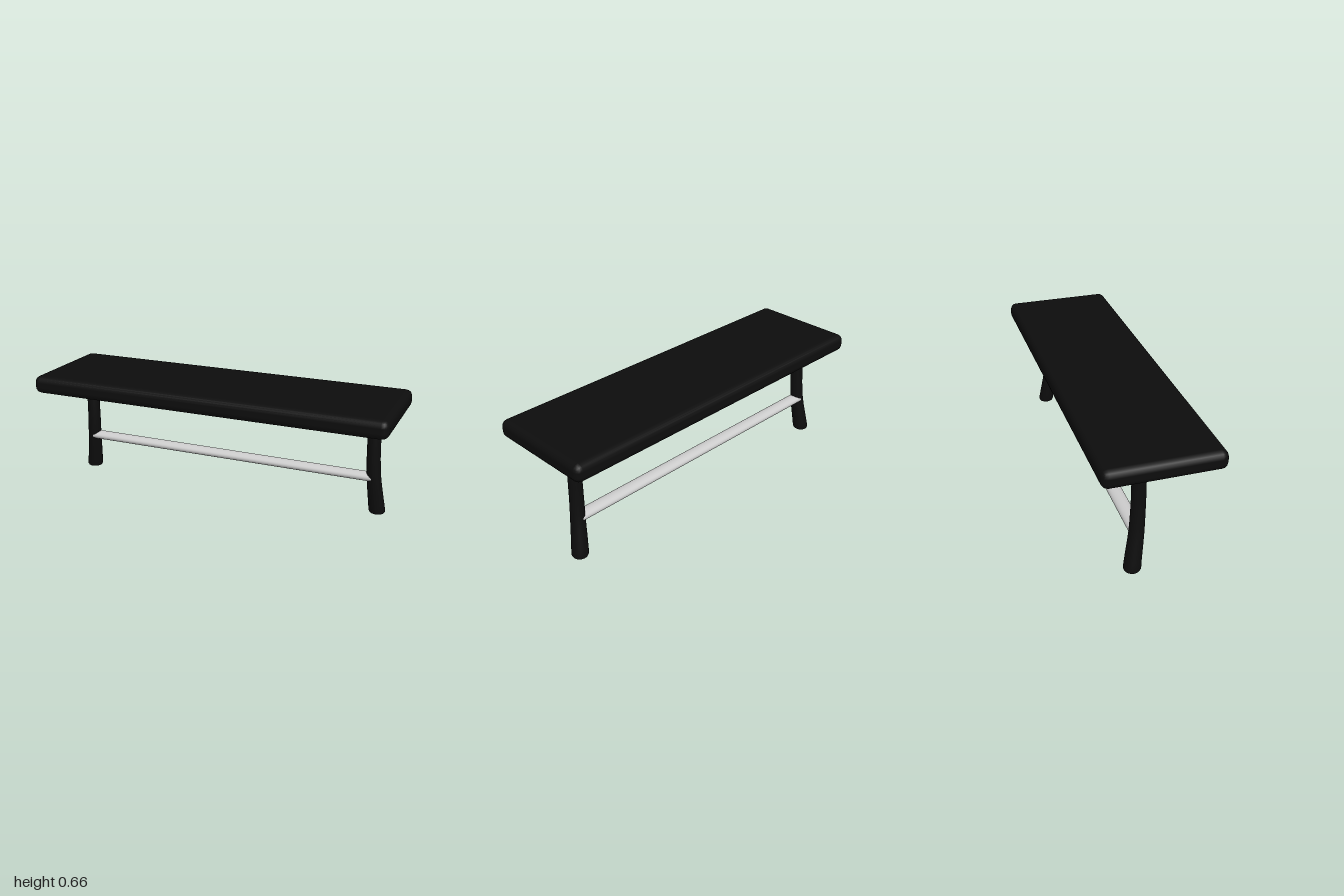
import * as THREE from 'three';
import { RoundedBoxGeometry } from 'three/addons/geometries/RoundedBoxGeometry.js';

const dark = new THREE.MeshStandardMaterial({ color: 0x0d0d0d });
const grey = new THREE.MeshStandardMaterial({ color: 0xcccccc });

// Leg sections from floor to seat: height, centre x, centre z, radius
const SECTIONS = [
  [0, 0.888, -0.12, 0.04],
  [0.01, 0.887, -0.119, 0.045],
  [0.05, 0.882, -0.114, 0.0435],
  [0.1, 0.876, -0.107, 0.042],
  [0.16, 0.869, -0.0985, 0.04],
  [0.21, 0.864, -0.0925, 0.0385],
  [0.25, 0.861, -0.0895, 0.0378],
  [0.32, 0.857, -0.0855, 0.0367],
  [0.4, 0.855, -0.083, 0.036],
  [0.58, 0.854, -0.0825, 0.0355],
];

// Round leg that sweeps outward and backward towards the floor
function makeLeg(side) {
  const rows = SECTIONS.length - 1;
  const geometry = new THREE.CylinderGeometry(1, 1, 1, 24, rows);
  const p = geometry.attributes.position;
  for (let i = 0; i < p.count; i++) {
    const [y, x, z, r] = SECTIONS[Math.round((p.getY(i) + 0.5) * rows)];
    p.setXYZ(i, side * x + p.getX(i) * r, y, z + p.getZ(i) * r);
  }
  geometry.computeVertexNormals();
  return new THREE.Mesh(geometry, dark);
}

export function createModel() {
  const model = new THREE.Group();
  model.name = 'bench';

  // Padded seat slab with soft edges
  const seat = new THREE.Mesh(new RoundedBoxGeometry(2, 0.098, 0.61, 2, 0.036), dark);
  seat.name = 'seat';
  seat.position.y = 0.614;
  model.add(seat);

  // One leg at each end
  for (const [name, side] of [['leftLeg', 1], ['rightLeg', -1]]) {
    const leg = makeLeg(side);
    leg.name = name;
    model.add(leg);
  }

  // Oval stretcher rail joining the legs
  const railGeometry = new THREE.CylinderGeometry(1, 1, 1.715, 24);
  railGeometry.rotateZ(Math.PI / 2);
  railGeometry.scale(1, 0.024, 0.0383);
  const rail = new THREE.Mesh(railGeometry, grey);
  rail.name = 'stretcherRail';
  rail.position.set(0, 0.211, -0.0925);
  model.add(rail);

  return model;
}
